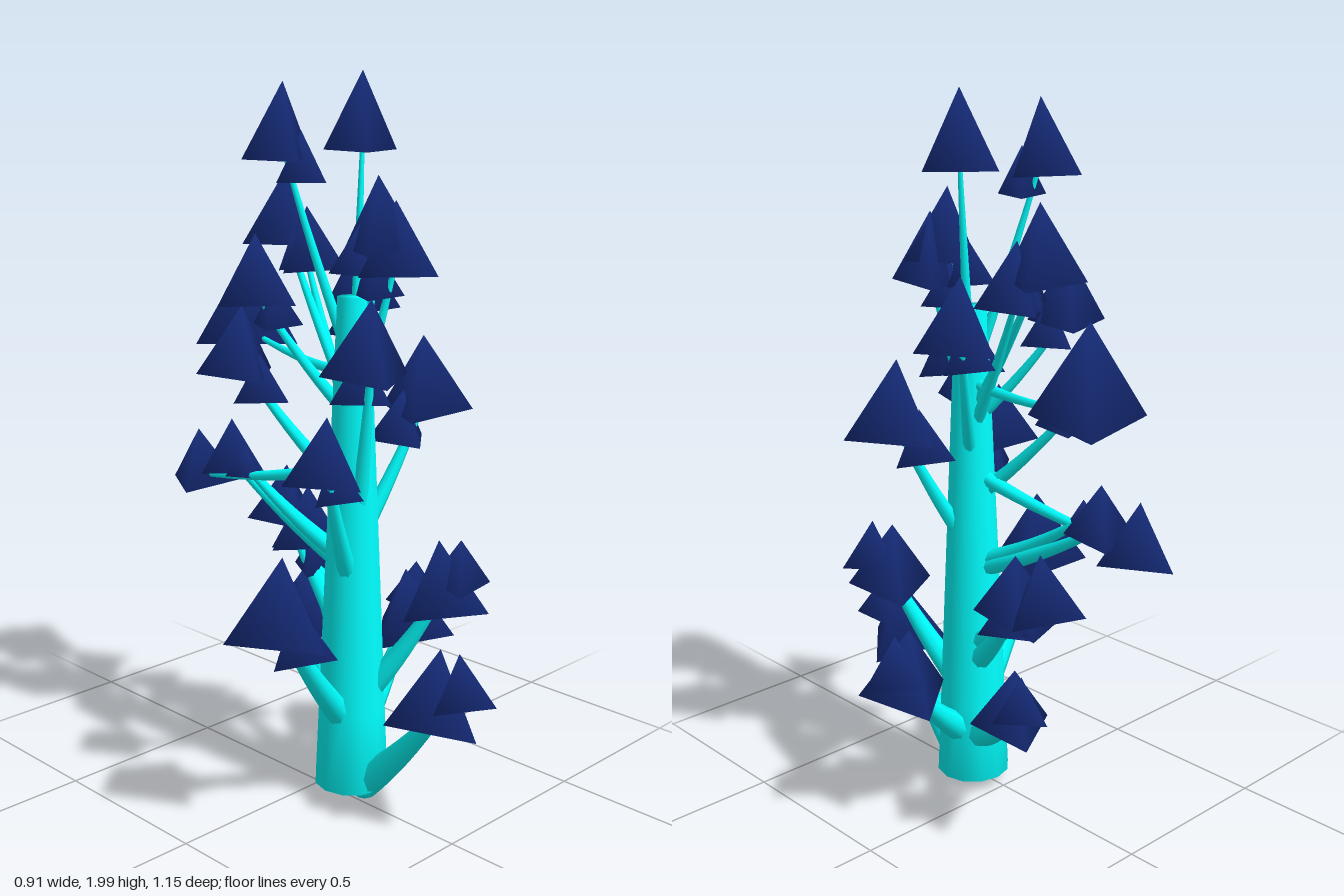
import * as THREE from 'three';
import { mergeVertices } from 'three/addons/utils/BufferGeometryUtils.js';

const bark = new THREE.MeshStandardMaterial({ color: 0x00ffff });
const leaf = new THREE.MeshStandardMaterial({ color: 0x152b78 });
const axis = new THREE.Vector3(0.025, 0, 0.103); // trunk centre line
const trunkRadius = (y) => 0.107 - 0.044 * y;

// Weld all corners so the shading runs smoothly over every edge
function smooth(geo) {
  geo.deleteAttribute('normal');
  geo.deleteAttribute('uv');
  const welded = mergeVertices(geo);
  welded.computeVertexNormals();
  return welded;
}

// Tapered, gently sagging branch with a rounded root
function branch(start, end, r0) {
  const mid = start.clone().lerp(end, 0.5);
  mid.y -= 0.03;
  const rings = 8, sides = 8;
  const curve = new THREE.QuadraticBezierCurve3(start, mid, end);
  const geo = new THREE.TubeGeometry(curve, rings, 1, sides);
  const pos = geo.attributes.position, v = new THREE.Vector3();
  for (let i = 0; i < pos.count; i++) {
    const t = Math.floor(i / (sides + 1)) / rings;
    const c = curve.getPointAt(t);
    v.fromBufferAttribute(pos, i).sub(c).multiplyScalar(r0 * (1 - 0.63 * t)).add(c);
    pos.setXYZ(i, v.x, v.y, v.z);
  }
  const mesh = new THREE.Mesh(geo, bark);
  mesh.name = 'branch';
  const root = new THREE.Mesh(new THREE.SphereGeometry(r0, 8, 6), bark);
  root.name = 'branchRoot';
  root.position.copy(start);
  mesh.add(root);
  return mesh;
}

// Three-sided foliage pyramid, slimmer towards the tree top
function foliage(base, r, yaw) {
  const h = r * (1.4 + 0.04 * base.y ** 4);
  const mesh = new THREE.Mesh(smooth(new THREE.ConeGeometry(r, h, 3)), leaf);
  mesh.name = 'foliage';
  mesh.position.copy(base);
  mesh.position.y += h / 2;
  mesh.rotation.y = THREE.MathUtils.degToRad(yaw);
  return mesh;
}

// Limbs: height on trunk, foliage base x, y, z, foliage radius, foliage yaw
const outerLimbs = [
  [0.05, 0.02, 0.32, 0.43, 0.15, -10],
  [0.18, 0.315, 0.38, 0.04, 0.145, 40],
  [0.17, 0.19, 0.345, -0.24, 0.125, 30],
  [0.32, 0.145, 0.575, 0.31, 0.14, 30],
];
const upperLimbs = [
  [0.25, -0.3, 0.575, 0.17, 0.157],
  [0.4, 0.15, 0.645, -0.2, 0.125, 20],
  [0.46, 0.17, 0.69, -0.31, 0.12, -20],
  [0.66, -0.18, 0.975, 0.21, 0.12],
  [0.78, 0.24, 1.085, 0.16, 0.147, 60],
  [0.9, -0.08, 1.18, -0.22, 0.13, -20],
  [0.82, -0.02, 1.22, 0.21, 0.14, -30],
  [1.02, 0.2, 1.35, -0.05, 0.125, 60],
  [1.15, 0.09, 1.53, -0.22, 0.125],
  [1.12, -0.1, 1.39, -0.14, 0.12, 20],
  [1.26, 0.05, 1.54, 0.165, 0.12, 60],
  [1.2, 0.09, 1.48, 0.19, 0.12, 20],
  [1.3, -0.095, 1.77, -0.035, 0.11, -25],
];
const singleLimbs = [
  [0.68, 0, 0.87, -0.36, 0.105, 20],
  [0.7, -0.02, 0.87, -0.28, 0.06],
  [0.95, -0.05, 0.82, -0.45, 0.115, 60],
  [1.1, 0.11, 1.46, -0.16, 0.11, 40],
  [1.21, 0.14, 1.225, -0.44, 0.17, 15],
  [1.34, 0.105, 1.79, 0.055, 0.113, -40],
];

// A limb carries a main pyramid and, on its outer (1) or inner (-1) side, a smaller one
function limb([y, x, baseY, z, r, yaw = 0], side) {
  const group = new THREE.Group();
  group.name = 'limb';
  const end = new THREE.Vector3(x, baseY, z);
  const out = end.clone().sub(axis).setY(0).normalize();
  const start = axis.clone().setY(y).addScaledVector(out, trunkRadius(y) * 0.5);
  const tip = end.clone();
  tip.y += 0.03;
  group.add(branch(start, tip, 0.05 * Math.exp(-0.9 * y)), foliage(end, r, yaw));
  if (side !== 0) {
    const second = end.clone().addScaledVector(out, side * r * 0.43);
    second.y += side * r * 0.5;
    group.add(foliage(second, r * 0.67, yaw + 40));
  }
  return group;
}

export function createModel() {
  const tree = new THREE.Group();
  tree.name = 'tree';

  // Tapered trunk
  const bottom = 0.04, top = 1.42;
  const trunk = new THREE.Mesh(
    smooth(new THREE.CylinderGeometry(trunkRadius(top), trunkRadius(bottom), top - bottom, 12, 6)), bark);
  trunk.name = 'trunk';
  trunk.position.copy(axis).setY((top + bottom) / 2);
  tree.add(trunk);

  // Limbs with their foliage
  outerLimbs.forEach((l) => tree.add(limb(l, 1)));
  upperLimbs.forEach((l) => tree.add(limb(l, -1)));
  singleLimbs.forEach((l) => tree.add(limb(l, 0)));
  return tree;
}
